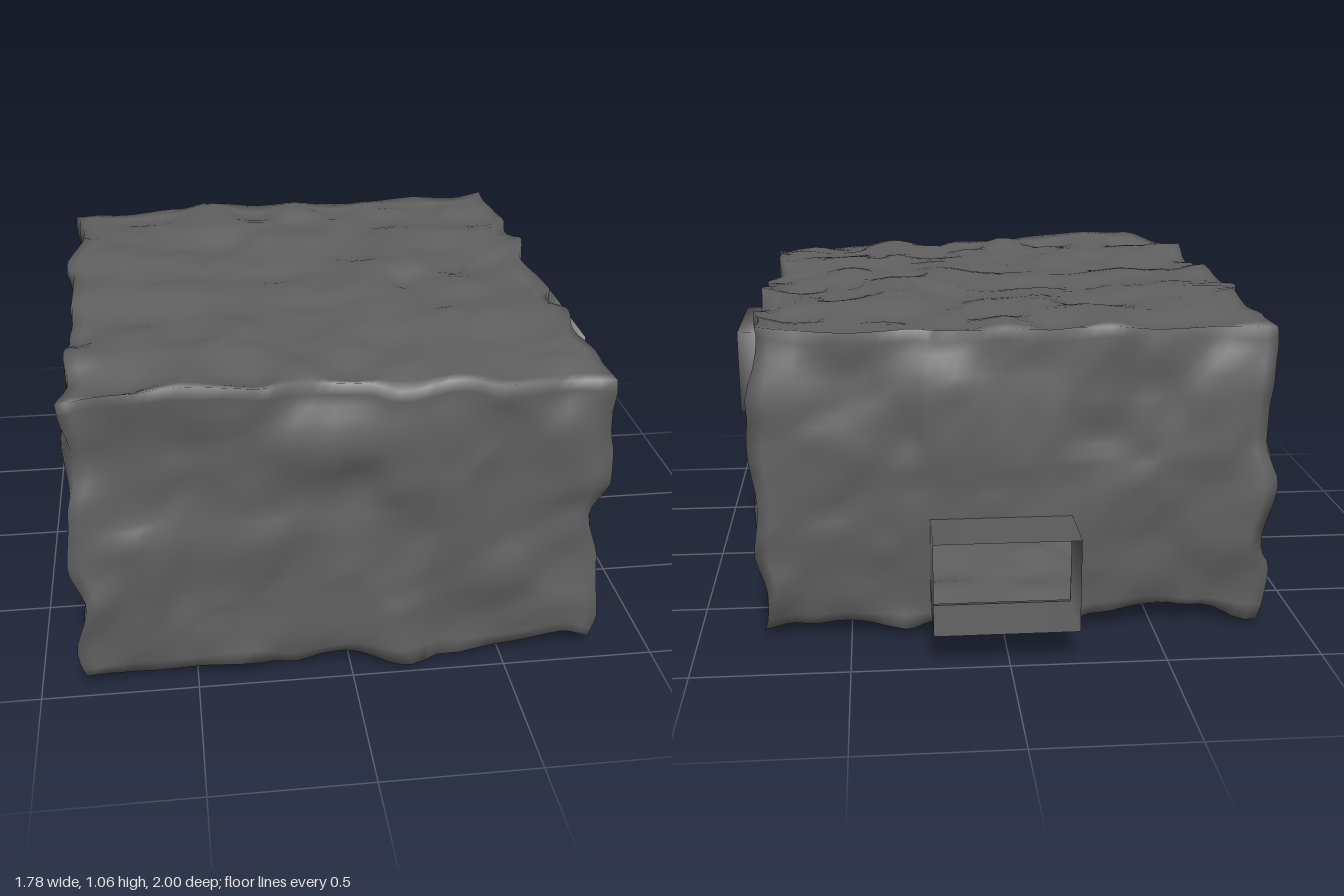
import * as THREE from 'three';
import { mergeVertices } from 'three/addons/utils/BufferGeometryUtils.js';

const MIN = [-0.855, 0.05, -0.75], MAX = [0.785, 1.035, 0.96];
const SEGMENTS = [44, 26, 46];
// grid lines that must fall exactly on the edges of the two openings
const CUTS = [[-0.22, 0.24], [0.12, 0.425, 0.59, 0.885], [-0.075, 0.365]];
// axis the opening faces, the wall it cuts, and the corners of its sleeve
const openings = [
  { name: 'sideTunnel', axis: 0, face: MAX[0], min: [0.8, 0.59, -0.075], max: [0.895, 0.885, 0.365] },
  { name: 'backTunnel', axis: 2, face: MIN[2], min: [-0.22, 0.12, -1], max: [0.24, 0.425, -0.77] },
];

// smooth seeded noise, -1 to 1
function hash(x, y, z, seed) {
  let h = Math.imul(x, 374761393) ^ Math.imul(y, 668265263) ^ Math.imul(z, 2147483647) ^ Math.imul(seed, 1274126177);
  h = Math.imul(h ^ (h >>> 13), 1274126177);
  h = Math.imul(h ^ (h >>> 15), 2246822519);
  return ((h ^ (h >>> 16)) >>> 0) / 2147483648 - 1;
}
function noise(p, freq, seed) {
  const q = p.map((v) => v * freq + 50), c = q.map(Math.floor);
  const f = q.map((v, i) => { const t = v - c[i]; return t * t * (3 - 2 * t); });
  let sum = 0;
  for (let k = 0; k < 8; k++) {
    const b = [k & 1, (k >> 1) & 1, k >> 2];
    const w = b.reduce((a, on, i) => a * (on ? f[i] : 1 - f[i]), 1);
    sum += w * hash(c[0] + b[0], c[1] + b[1], c[2] + b[2], seed);
  }
  return sum;
}

function gridLines(axis) {
  const n = SEGMENTS[axis];
  const lines = Array.from({ length: n + 1 }, (_, i) => MIN[axis] + (MAX[axis] - MIN[axis]) * i / n);
  for (const cut of CUTS[axis]) {
    let best = 0;
    lines.forEach((v, i) => { if (Math.abs(v - cut) < Math.abs(lines[best] - cut)) best = i; });
    lines[best] = cut;
  }
  return lines;
}

// the side and back walls swell outward at mid height
function swell(p, axis) {
  const t = (p[1] - MIN[1]) / (MAX[1] - MIN[1]);
  const arch = Math.sin(Math.PI * t);
  if (axis === 0 && p[0] === MAX[0]) return 0.033 * arch + 0.012 * (1 - t);
  if (axis === 2 && p[2] === MIN[2]) return -0.035 * arch;
  return 0;
}

// the rock is roughest along the edges of the block
function roughness(p) {
  const gaps = p.map((v, a) => Math.min(v - MIN[a], MAX[a] - v)).sort((a, b) => a - b);
  return 0.027 + 0.016 * Math.max(0, 1 - gaps[1] / 0.12);
}

// rough rock shell with the two openings cut out
function rockShell() {
  let geo = new THREE.BoxGeometry(1, 1, 1, ...SEGMENTS);
  geo.deleteAttribute('uv');
  geo.deleteAttribute('normal');
  geo = mergeVertices(geo);
  const lines = [0, 1, 2].map(gridLines);
  const pos = geo.attributes.position, base = [];
  for (let i = 0; i < pos.count; i++) {
    const p = [pos.getX(i), pos.getY(i), pos.getZ(i)];
    base.push(p.map((v, a) => lines[a][Math.round((v + 0.5) * SEGMENTS[a])]));
  }
  // leave out the faces inside each opening
  const src = geo.index.array, index = [];
  for (let i = 0; i < src.length; i += 3) {
    const tri = [src[i], src[i + 1], src[i + 2]];
    const open = openings.some((o) => tri.every((v) => base[v].every((c, a) =>
      a === o.axis ? Math.abs(c - o.face) < 1e-4 : c > o.min[a] - 1e-4 && c < o.max[a] + 1e-4)));
    if (!open) index.push(...tri);
  }
  geo.setIndex(index);
  // push every point about, keeping the rims of the openings straight
  base.forEach((p, i) => {
    const moved = p.map((c, a) => {
      let d = roughness(p) * noise(p, 6, a + 1) + 0.008 * noise(p, 13, a + 11);
      for (const o of openings) {
        if (Math.abs(p[o.axis] - o.face) > 0.01) continue;
        const gap = Math.hypot(...p.map((v, b) => b === o.axis ? 0 : Math.max(o.min[b] - v, 0, v - o.max[b])));
        d *= Math.min(1, gap / 0.1);
      }
      return c + d + swell(p, a);
    });
    pos.setXYZ(i, ...moved);
  });
  geo.computeVertexNormals();
  return geo;
}

// square sleeve of four thin walls with soft shading, open at both ends
function tunnel(o) {
  let geo = new THREE.BoxGeometry(...o.max.map((v, a) => v - o.min[a]));
  const index = Array.from(geo.index.array);
  index.splice(o.axis * 12, 12);
  geo.setIndex(index);
  geo.clearGroups();
  geo.deleteAttribute('uv');
  geo.deleteAttribute('normal');
  geo = mergeVertices(geo);
  geo.translate(...o.max.map((v, a) => (v + o.min[a]) / 2));
  geo.computeVertexNormals();
  return geo;
}

export function createModel() {
  const group = new THREE.Group();
  const stone = new THREE.MeshStandardMaterial({ color: 0x606060, side: THREE.DoubleSide });
  stone.name = 'grey stone';
  const add = (name, geo) => {
    const mesh = new THREE.Mesh(geo, stone);
    mesh.name = name;
    group.add(mesh);
  };
  add('rockShell', rockShell());
  openings.forEach((o) => add(o.name, tunnel(o)));
  return group;
}
